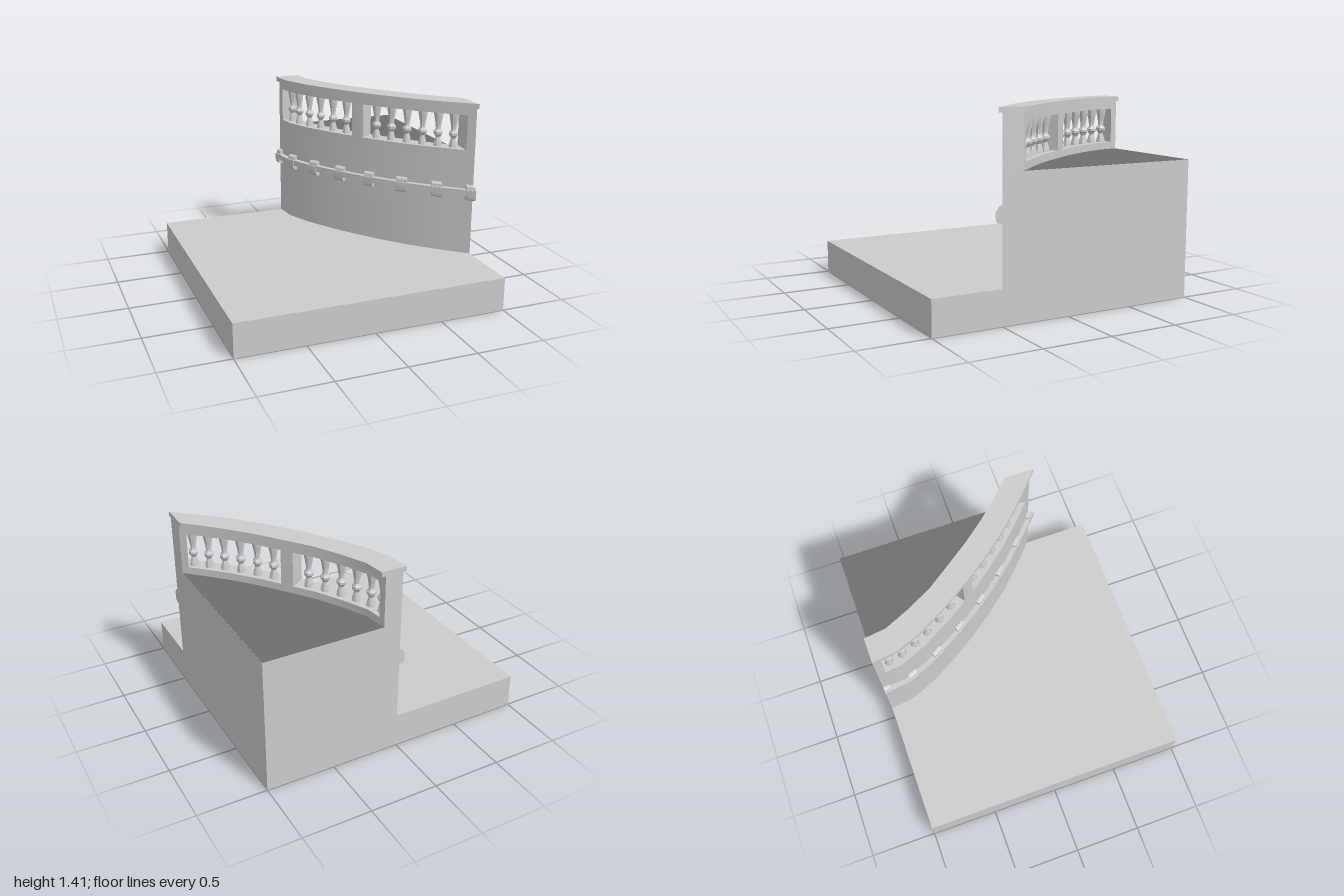
import * as THREE from 'three';
import { toCreasedNormals } from 'three/addons/utils/BufferGeometryUtils.js';

const grey = new THREE.MeshStandardMaterial({ color: 0xcccccc });
const dark = new THREE.MeshStandardMaterial({ color: 0x6e6e6e });

// Plan curves as [x, z]: outer wall face (t = 0) and inner coping edge (t = 1)
const outer = [[0, -1], [0.025, -0.81], [0.11, -0.61], [0.225, -0.41], [0.355, -0.21],
  [0.495, -0.02], [0.66, 0.175], [0.83, 0.345], [1, 0.5]];
const inner = [[0.16, -1], [0.18, -0.84], [0.26, -0.66], [0.36, -0.47], [0.48, -0.3],
  [0.61, -0.12], [0.74, 0.04], [0.87, 0.18], [1, 0.31]];
const LAST = outer.length - 1;
const WALL = 0.81; // inner wall face

// Point at station s along the wall, t across it
function at(s, t, y) {
  const i = Math.min(Math.floor(s), LAST - 1), f = s - i;
  const mix = (c, k) => c[i][k] + (c[i + 1][k] - c[i][k]) * f;
  const p = (k) => mix(outer, k) + (mix(inner, k) - mix(outer, k)) * t;
  return new THREE.Vector3(p(0), y, p(1));
}

// Sweep a counter-clockwise [t, y] profile along the wall from s0 to s1
function sweep(profile, s0, s1) {
  const stations = [s0];
  for (let s = Math.floor(s0) + 1; s < s1; s++) stations.push(s);
  stations.push(s1);
  const rings = stations.map((s) => profile.map(([t, y]) => at(s, t, y)));
  const pts = [], n = profile.length;
  for (let k = 0; k < rings.length - 1; k++) {
    for (let j = 0; j < n; j++) {
      const a = rings[k][j], b = rings[k][(j + 1) % n];
      const c = rings[k + 1][(j + 1) % n], d = rings[k + 1][j];
      pts.push(a, b, c, a, c, d);
    }
  }
  const first = rings[0], end = rings[rings.length - 1];
  const tris = THREE.ShapeUtils.triangulateShape(profile.map(([t, y]) => new THREE.Vector2(t, y)), []);
  for (const [a, b, c] of tris) pts.push(end[a], end[b], end[c], first[c], first[b], first[a]);
  return toCreasedNormals(new THREE.BufferGeometry().setFromPoints(pts), 0.5);
}

const rect = (t0, y0, t1, y1) => [[t0, y0], [t1, y0], [t1, y1], [t0, y1]];

// Plan outline from a curve at t closed by the back corner
function planShape(t) {
  const pts = outer.map((_, s) => at(s, t, 0)).map((p) => new THREE.Vector2(p.x, -p.z));
  pts.push(new THREE.Vector2(1, 1));
  return new THREE.Shape(pts);
}

export function createModel() {
  const model = new THREE.Group();
  const add = (name, geometry, parent = model, material = grey) => {
    const mesh = new THREE.Mesh(geometry, material);
    mesh.name = name;
    parent.add(mesh);
    return mesh;
  };
  const group = (name) => {
    const g = new THREE.Group();
    g.name = name;
    model.add(g);
    return g;
  };

  // Ground slab, raised terrace and its dark floor
  add('groundSlab', new THREE.BoxGeometry(2, 0.25, 2).translate(0, 0.125, 0));
  const block = new THREE.ExtrudeGeometry(planShape(0), { depth: 0.75, bevelEnabled: false });
  add('terraceBlock', toCreasedNormals(block.rotateX(-Math.PI / 2).translate(0, 0.25, 0), 0.5));
  const floor = new THREE.ShapeGeometry(planShape(WALL)).rotateX(-Math.PI / 2).translate(0, 1.001, 0);
  add('terraceFloor', floor, model, dark);

  // Moulding with brackets around the wall
  const moulding = group('moulding');
  add('ledge', sweep(rect(-0.25, 0.715, 0, 0.76), 0, LAST), moulding);
  const bracket = [[0, 0.793], [-0.1, 0.79], [-0.17, 0.78], [-0.2, 0.76], [-0.26, 0.757],
    [-0.26, 0.71], [-0.24, 0.69], [-0.18, 0.68], [0, 0.675]];
  for (let i = 0; i < 8; i++) {
    const s = 0.1 + 1.115 * i;
    add('bracket', sweep(bracket, Math.max(0, s - 0.17), Math.min(LAST, s + 0.17)), moulding);
  }

  // Parapet: rails, posts and overhanging coping
  const parapet = group('parapet');
  add('bottomRail', sweep(rect(0, 1, WALL, 1.055), 0, LAST), parapet);
  add('topRail', sweep(rect(0, 1.315, WALL, 1.375), 0, LAST), parapet);
  for (const [a, b] of [[0, 0.3], [3.85, 4.27], [7.72, LAST]]) {
    add('post', sweep(rect(0, 1.055, WALL, 1.315), a, b), parapet);
  }
  add('coping', sweep(rect(-0.16, 1.375, 1, 1.41), 0, LAST), parapet);

  // Two rows of turned balusters
  const balusters = group('balusters');
  const profile = [[0.034, 0], [0.03, 0.025], [0.018, 0.065], [0.022, 0.075], [0.035, 0.092],
    [0.035, 0.108], [0.022, 0.125], [0.019, 0.135], [0.026, 0.185], [0.036, 0.235], [0.036, 0.26]];
  const turned = toCreasedNormals(
    new THREE.LatheGeometry(profile.map(([r, y]) => new THREE.Vector2(r, y)), 8).toNonIndexed(), 0.6);
  for (const [a, b] of [[0.6, 3.45], [4.65, 7.4]]) {
    for (let i = 0; i < 6; i++) {
      add('baluster', turned, balusters).position.copy(at(a + ((b - a) * i) / 5, WALL / 2, 1.055));
    }
  }
  return model;
}
